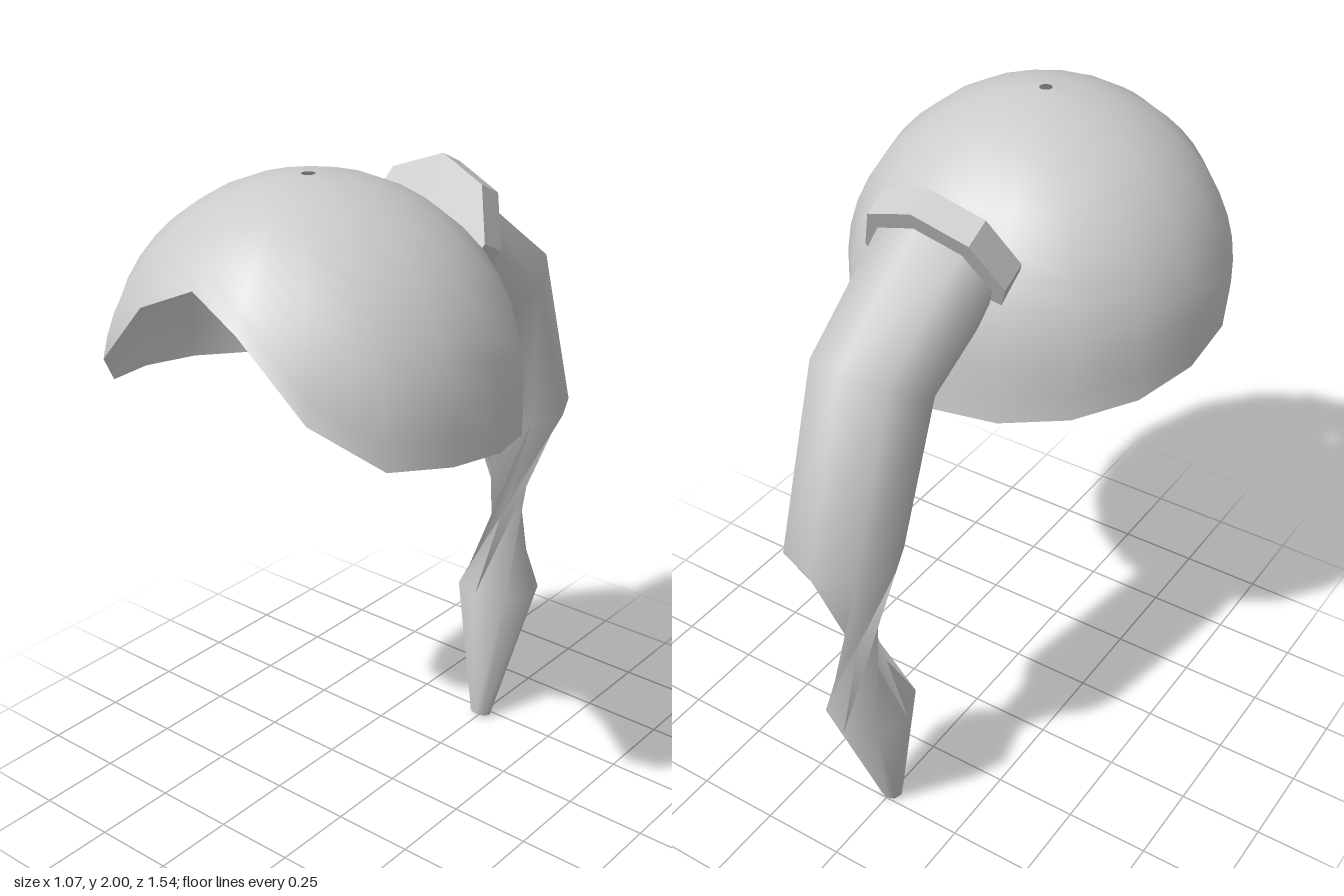
import * as THREE from 'three';

const hair = new THREE.MeshStandardMaterial({ color: 0xcccccc, side: THREE.DoubleSide });
hair.name = 'light grey';

function indexed(points, index) {
  const g = new THREE.BufferGeometry();
  g.setAttribute('position', new THREE.Float32BufferAttribute(points, 3));
  g.setIndex(index);
  g.computeVertexNormals();
  return g;
}

function named(name, geometry) {
  const mesh = new THREE.Mesh(geometry, hair);
  mesh.name = name;
  return mesh;
}

// Dome with a pinhole crown, a raised hairline in front and a sloping rim
function capGeometry() {
  const R = 0.54, cy = 1.46, cz = 0.33, cols = 18, rows = 12;
  const hairline = [1.805, 1.735, 1.55, 1.42]; // rim height at 0, 20, 40, 60 degrees
  const points = [], index = [];
  for (let j = 0; j <= rows; j++) {
    for (let i = 0; i < cols; i++) {
      const t = (i / cols) * Math.PI * 2;
      const k = Math.min(i, cols - i);
      const stretch = Math.cos(t) < 0 ? 1 - 0.04 * Math.cos(t) : 1;
      const rimY = k < 4 ? hairline[k] : 1.325 + 0.153 * (cz + R * stretch * Math.cos(t));
      const end = Math.acos((rimY - cy) / R);
      const phi = 0.033 + (end - 0.033) * (j / rows);
      // below the widest ring the wall drops almost straight
      const r = R * (phi > Math.PI / 2 ? 0.985 + 0.015 * Math.sin(phi) : Math.sin(phi)) * stretch;
      points.push(r * Math.sin(t), cy + R * Math.cos(phi), cz + r * Math.cos(t));
    }
  }
  for (let j = 0; j < rows; j++) {
    for (let i = 0; i < cols; i++) {
      const n = (i + 1) % cols, a = j * cols, b = a + cols;
      index.push(a + i, b + i, b + n, a + i, b + n, a + n);
    }
  }
  return indexed(points, index);
}

// Tail: octagonal rings; the third and fourth are twisted against each other
const RINGS = [
  { y: 1.70, z: -0.205, up: 0.16, back: -0.08, w: 0.18, turn: 0 },
  { y: 1.525, z: -0.472, up: 0.095, back: -0.138, w: 0.168, turn: 0 },
  { y: 1.075, z: -0.628, up: 0.015, back: -0.148, w: 0.165, turn: 0 },
  { y: 0.46, z: -0.55, up: -0.02, back: -0.13, w: 0.13, turn: 3 },
  { y: 0.0085, z: -0.47, up: -0.0075, back: -0.03, w: 0.035, turn: 3 },
];

function ringPoints(ring) {
  const points = [];
  for (let i = 0; i < 8; i++) {
    const a = ((i + ring.turn) / 8) * Math.PI * 2;
    points.push(
      ring.w * Math.sin(a),
      ring.y + ring.up * Math.cos(a),
      ring.z + ring.back * Math.cos(a));
  }
  return points;
}

function tailGeometry() {
  const points = RINGS.flatMap(ringPoints), index = [];
  for (let j = 0; j < RINGS.length - 1; j++) {
    for (let i = 0; i < 8; i++) {
      const n = (i + 1) % 8, u = j * 8, l = u + 8;
      index.push(u + i, u + n, l + n, u + i, l + n, l + i);
    }
  }
  return indexed(points, index);
}

function tipGeometry() {
  const index = [];
  for (let i = 1; i < 7; i++) index.push(0, i, i + 1);
  return indexed(ringPoints(RINGS[RINGS.length - 1]), index);
}

export function createModel() {
  const model = new THREE.Group();
  model.name = 'ponytailHair';

  model.add(named('hairCap', capGeometry()));

  // Faceted octagonal band where the tail leaves the cap
  const band = new THREE.CylinderGeometry(0.215, 0.215, 0.085, 8).toNonIndexed();
  band.computeVertexNormals();
  const tie = named('hairTie', band);
  tie.position.set(0, 1.731, -0.163);
  tie.rotation.x = 1.107;
  model.add(tie);

  const tail = new THREE.Group();
  tail.name = 'ponytail';
  tail.add(named('twistedTail', tailGeometry()), named('tailTip', tipGeometry()));
  model.add(tail);
  return model;
}
